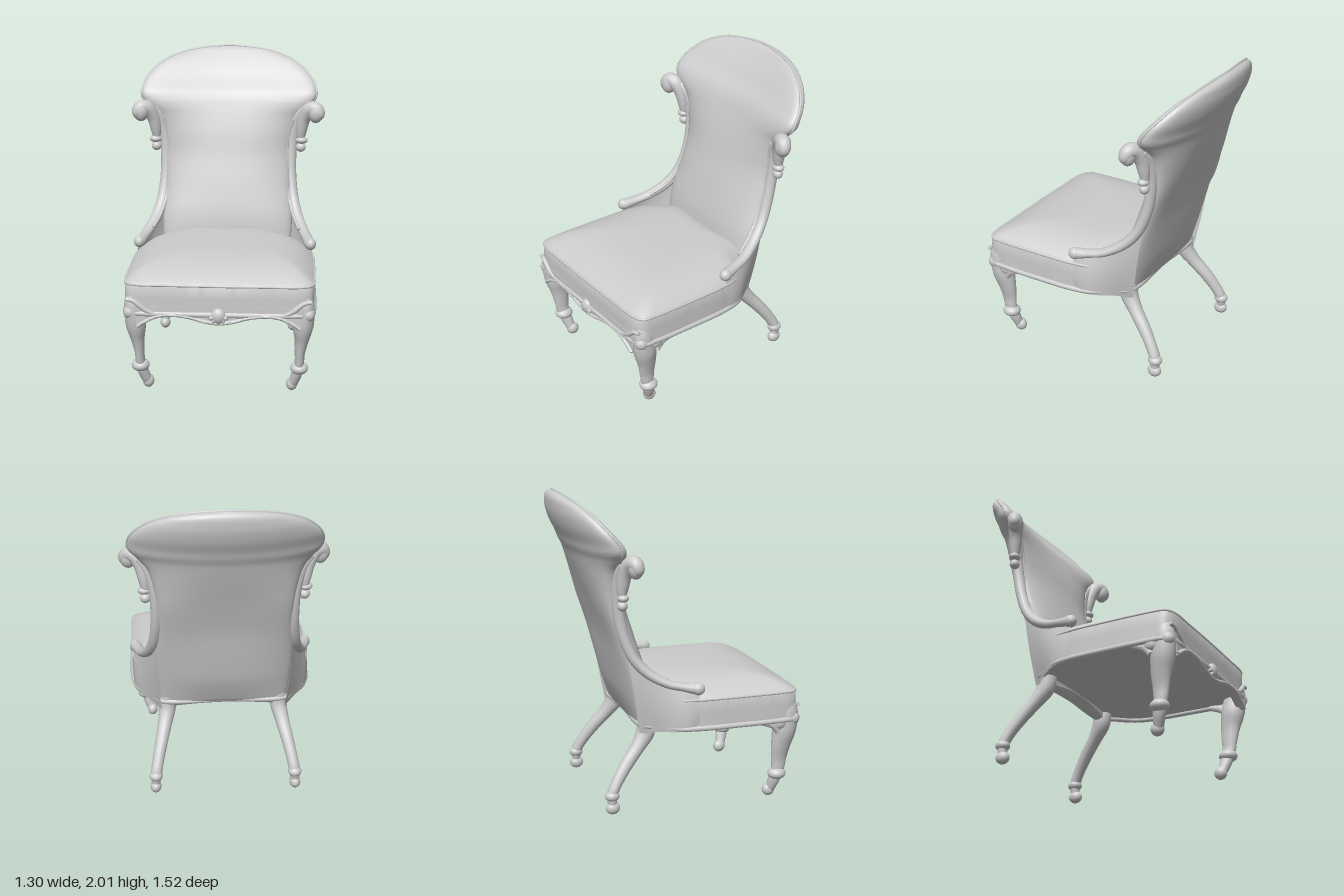
import * as THREE from 'three';
import { toCreasedNormals } from 'three/addons/utils/BufferGeometryUtils.js';

const V = (x, y, z) => new THREE.Vector3(x, y, z);

// Smoothly resample a table of rows, column by column
function resample(rows, n) {
  const cols = rows[0].map((_, c) => new THREE.SplineCurve(rows.map((r, i) => new THREE.Vector2(i, r[c]))));
  return Array.from({ length: n + 1 }, (_, i) => cols.map(c => c.getPoint(i / n).y));
}

// Skin closed rings of points, counter-clockwise about the direction of travel, with end caps
function loft(rings, crease = 0.9) {
  const pos = [], idx = [], m = rings[0].length, n = rings.length;
  rings.forEach(r => r.forEach(p => pos.push(p.x, p.y, p.z)));
  for (const r of [rings[0], rings[n - 1]]) {
    const c = r.reduce((s, p) => s.add(p), V(0, 0, 0)).divideScalar(m);
    pos.push(c.x, c.y, c.z);
  }
  for (let j = 0; j < m; j++) {
    const k = (j + 1) % m, e = (n - 1) * m;
    for (let i = 0; i < n - 1; i++) {
      const a = i * m + j, b = i * m + k;
      idx.push(a, b, b + m, a, b + m, a + m);
    }
    idx.push(n * m, k, j, n * m + 1, e + j, e + k);
  }
  const g = new THREE.BufferGeometry();
  g.setAttribute('position', new THREE.Float32BufferAttribute(pos, 3));
  g.setIndex(idx);
  return toCreasedNormals(g, crease);
}

// Sweep an ellipse along rows of [x, y, z, radius along ref, other radius]
function sweep(rows, ref = V(1, 0, 0), n = 40, sides = 16) {
  const pts = resample(rows, n);
  return loft(pts.map((p, i) => {
    const a = pts[Math.max(i - 1, 0)], b = pts[Math.min(i + 1, n)];
    const T = V(b[0] - a[0], b[1] - a[1], b[2] - a[2]).normalize();
    const N = ref.clone().addScaledVector(T, -T.dot(ref)).normalize();
    const B = T.clone().cross(N);
    return Array.from({ length: sides }, (_, j) => {
      const t = j / sides * Math.PI * 2;
      return V(p[0], p[1], p[2]).addScaledVector(N, Math.cos(t) * p[3]).addScaledVector(B, Math.sin(t) * (p[4] ?? p[3]));
    });
  }));
}

export function createModel() {
  const group = new THREE.Group();
  const clay = new THREE.MeshStandardMaterial({ color: 0xcccccc, side: THREE.DoubleSide });
  clay.name = 'pale grey';
  const add = (name, geo) => {
    const m = new THREE.Mesh(geo, clay);
    m.name = name;
    group.add(m);
    return m;
  };
  const ball = (name, x, y, z, rx, ry = rx, rz = rx) => {
    const m = add(name, new THREE.SphereGeometry(1, 20, 14));
    m.position.set(x, y, z);
    m.scale.set(rx, ry, rz);
    return m;
  };

  // Seat: straight sides under a domed cushion
  const half = [[0.3, 0.722], [0.51, 0.715], [0.572, 0.685], [0.585, 0.6], [0.588, 0.3], [0.58, 0.05], [0.55, -0.08], [0.46, -0.2], [0.4, -0.28]];
  const plan = new THREE.CatmullRomCurve3([
    V(0, 0, 0.725), ...half.map(([x, z]) => V(x, 0, z)), V(0, 0, -0.28),
    ...half.slice().reverse().map(([x, z]) => V(-x, 0, z))], true).getSpacedPoints(120).slice(0, 120);
  const seatRing = (s, y) => plan.map(p => V(p.x * s, y, (p.z + 0.05) * s - 0.05));
  const domes = [0.995, 0.98, 0.95, 0.91, 0.85, 0.76, 0.64, 0.45, 0.2];
  add('seat', loft([seatRing(0.985, 0.555), seatRing(1, 0.565), seatRing(1, 0.65), seatRing(1, 0.73),
    ...domes.map(u => seatRing(u, 0.735 + 0.117 * (1 - u ** 5)))], 0.6));
  const trim = (name, y, r) => add(name, new THREE.TubeGeometry(
    new THREE.CatmullRomCurve3(plan.map(p => V(p.x * 0.995, y, p.z * 0.995)), true), 160, r, 8, true));
  trim('seatPiping', 0.733, 0.009);
  trim('seatRail', 0.549, 0.018);

  // Backrest: leaning slices of [y, half width, front z, back z, forward bow of the edges]
  const slices = resample([
    [0.5, 0.4, -0.2, -0.3, 0], [0.7, 0.43, -0.2, -0.37, 0.01], [0.9, 0.44, -0.22, -0.42, 0], [1.1, 0.425, -0.27, -0.465, -0.02],
    [1.3, 0.425, -0.33, -0.53, -0.02], [1.45, 0.445, -0.37, -0.585, 0.01], [1.56, 0.48, -0.405, -0.625, 0.045],
    [1.63, 0.54, -0.43, -0.65, 0.08], [1.68, 0.585, -0.45, -0.675, 0.1], [1.73, 0.593, -0.48, -0.695, 0.11],
    [1.8, 0.568, -0.54, -0.73, 0.105], [1.87, 0.505, -0.59, -0.753, 0.085], [1.92, 0.43, -0.63, -0.76, 0.065],
    [1.96, 0.325, -0.665, -0.76, 0.04], [1.985, 0.2, -0.69, -0.75, 0.02], [2.0, 0.03, -0.715, -0.73, 0]], 75);
  const pow = (v, p) => Math.sign(v) * Math.abs(v) ** p;
  add('backrest', loft(slices.map(([y, w, zf, zb, bow], i) => Array.from({ length: 64 }, (_, j) => {
    const a = j / 64 * Math.PI * 2, t = pow(Math.sin(a), 0.8);
    const arch = 0.05 * (1 - t * t) * Math.max(0, 1 - i / 6);
    return V(w * t, y + arch, (zf + zb) / 2 + bow * t * t + pow(Math.cos(a), 0.75) * (zf - zb) / 2);
  }))));
  const edge = slices.filter(s => s[0] > 1.66).map(([y, w, zf, zb, bow]) => V(w, y, (zf + zb) / 2 + bow + 0.008));
  add('backPiping', new THREE.TubeGeometry(new THREE.CatmullRomCurve3(
    [...edge, ...edge.slice().reverse().map(p => V(-p.x, p.y, p.z))]), 140, 0.008, 8));

  // Front apron with a scalloped lower edge
  const scallop = [[0.5, 0.46], [0.44, 0.5], [0.37, 0.53], [0.28, 0.538], [0.18, 0.525], [0.09, 0.5], [0, 0.488]];
  const wave = [...scallop.map(([x, y]) => [-x, y]), ...scallop.slice(0, -1).reverse()];
  const shape = new THREE.Shape([new THREE.Vector2(-0.53, 0.6),
    ...new THREE.SplineCurve(wave.map(p => new THREE.Vector2(...p))).getPoints(60), new THREE.Vector2(0.53, 0.6)]);
  add('frontApron', new THREE.ExtrudeGeometry(shape, { depth: 0.045, bevelEnabled: false })).position.z = 0.68;
  add('apronMoulding', sweep(wave.map(([x, y]) => [x, y + 0.008, 0.72, 0.013, 0.02]), V(0, 1, 0), 60, 10));

  // Carved shell at the centre of the apron
  ball('shellBoss', 0, 0.545, 0.725, 0.045, 0.05, 0.033);
  for (let i = -2; i <= 2; i++) {
    const a = i * 0.6;
    ball('shellLobe', Math.sin(a) * 0.042, 0.548 - Math.cos(a) * 0.035, 0.728, 0.016, 0.024, 0.02).rotation.z = a;
  }

  for (const s of [1, -1]) {
    const side = rows => rows.map(([x, ...r]) => [x * s, ...r]);

    // Curved front leg, with knee carving, ankle collar and foot
    add('frontLeg', sweep(side([
      [0.46, 0.05, 0.575, 0.03, 0.03], [0.485, 0.12, 0.592, 0.034, 0.04], [0.5, 0.2, 0.61, 0.03, 0.045], [0.503, 0.27, 0.615, 0.032, 0.053],
      [0.513, 0.36, 0.622, 0.045, 0.065], [0.52, 0.45, 0.638, 0.063, 0.077], [0.53, 0.53, 0.65, 0.06, 0.076],
      [0.535, 0.6, 0.655, 0.053, 0.068], [0.535, 0.66, 0.655, 0.04, 0.05]])));
    ball('frontAnkle', s * 0.5, 0.165, 0.603, 0.057, 0.04, 0.06);
    ball('frontFoot', s * 0.455, 0.043, 0.565, 0.036, 0.043, 0.042);
    ball('kneeCarving', s * 0.55, 0.55, 0.685, 0.042, 0.045, 0.045);
    ball('kneeCarving', s * 0.572, 0.53, 0.585, 0.024, 0.04, 0.045);
    add('kneeScroll', sweep(side([[0.57, 0.64, 0.715, 0.012], [0.52, 0.63, 0.72, 0.016], [0.47, 0.59, 0.722, 0.018],
      [0.42, 0.56, 0.722, 0.014], [0.36, 0.55, 0.722, 0.008]]), V(0, 1, 0), 24, 10));
    add('sideBracket', sweep(side([[0.565, 0.47, 0.58, 0.02, 0.02], [0.57, 0.52, 0.54, 0.018, 0.025], [0.572, 0.545, 0.46, 0.016, 0.018]]), V(1, 0, 0), 16, 10));

    // Back leg sweeping out behind
    add('backLeg', sweep(side([
      [0.365, 0.58, -0.24, 0.055, 0.06], [0.365, 0.49, -0.25, 0.055, 0.06], [0.385, 0.4, -0.31, 0.046, 0.045], [0.41, 0.31, -0.385, 0.041, 0.042],
      [0.435, 0.21, -0.455, 0.037, 0.037], [0.45, 0.13, -0.495, 0.036, 0.034], [0.455, 0.05, -0.497, 0.026, 0.026]])));
    ball('backAnkle', s * 0.452, 0.12, -0.498, 0.044, 0.035, 0.047);
    ball('backFoot', s * 0.455, 0.041, -0.495, 0.036, 0.041, 0.046);

    // Carved rail from the seat up the side of the back
    const rail = side([
      [0.563, 0.8, 0.065, 0.022, 0.02], [0.56, 0.805, 0.03, 0.037, 0.036], [0.54, 0.82, -0.06, 0.035, 0.028], [0.515, 0.845, -0.16, 0.036, 0.028],
      [0.475, 0.91, -0.27, 0.038, 0.032], [0.445, 1.01, -0.355, 0.038, 0.034], [0.43, 1.15, -0.41, 0.036, 0.036], [0.427, 1.3, -0.44, 0.037, 0.036],
      [0.435, 1.43, -0.45, 0.042, 0.036], [0.465, 1.54, -0.445, 0.043, 0.036], [0.52, 1.61, -0.425, 0.04, 0.04]]);
    add('sideRail', sweep(rail, V(1, 0, 0), 60));
    add('railBead', sweep(rail.slice(3, 10).map(([x, y, z]) => [x - s * 0.026, y + 0.008, z + 0.028, 0.011]), V(1, 0, 0), 50, 8));
    ball('railEnd', s * 0.565, 0.805, 0.035, 0.036, 0.04, 0.042);

    // Scroll at the shoulder with a beaded drop below
    add('shoulderScroll', sweep(side([[0.49, 1.4, -0.435, 0.025], [0.495, 1.47, -0.43, 0.038], [0.51, 1.55, -0.42, 0.045],
      [0.545, 1.615, -0.4, 0.05], [0.59, 1.625, -0.38, 0.047], [0.61, 1.59, -0.368, 0.04], [0.59, 1.56, -0.37, 0.025]]), V(0, 0, 1)));
    ball('scrollEye', s * 0.59, 1.598, -0.375, 0.052, 0.068, 0.048);
    ball('dropBead', s * 0.497, 1.4, -0.43, 0.042, 0.026, 0.036);
    ball('dropBead', s * 0.492, 1.35, -0.432, 0.034, 0.032, 0.032);

    // Upholstered web joining the rail to the seat side and back
    const web = resample(side([
      [0.565, 0.8, 0.04, 0.572, 0.54, 0.04], [0.55, 0.815, -0.03, 0.575, 0.535, -0.03], [0.53, 0.83, -0.11, 0.545, 0.53, -0.11],
      [0.5, 0.87, -0.21, 0.475, 0.52, -0.2], [0.46, 0.95, -0.31, 0.425, 0.5, -0.26], [0.43, 1.05, -0.39, 0.4, 0.5, -0.3]])
      .map(r => [r[0], r[1], r[2], r[3] * s, r[4], r[5]]), 24);
    const panel = new THREE.PlaneGeometry(1, 1, 24, 8), P = panel.attributes.position;
    for (let i = 0; i < P.count; i++) {
      const r = web[i % 25], v = Math.floor(i / 25) / 8, mix = k => r[k] + (r[k + 3] - r[k]) * v;
      P.setXYZ(i, mix(0) + s * 0.015 * Math.sin(Math.PI * v), mix(1), mix(2));
    }
    if (s > 0) panel.setIndex(Array.from(panel.index.array).reverse());
    panel.computeVertexNormals();
    add('sideWeb', panel);
  }
  return group;
}
